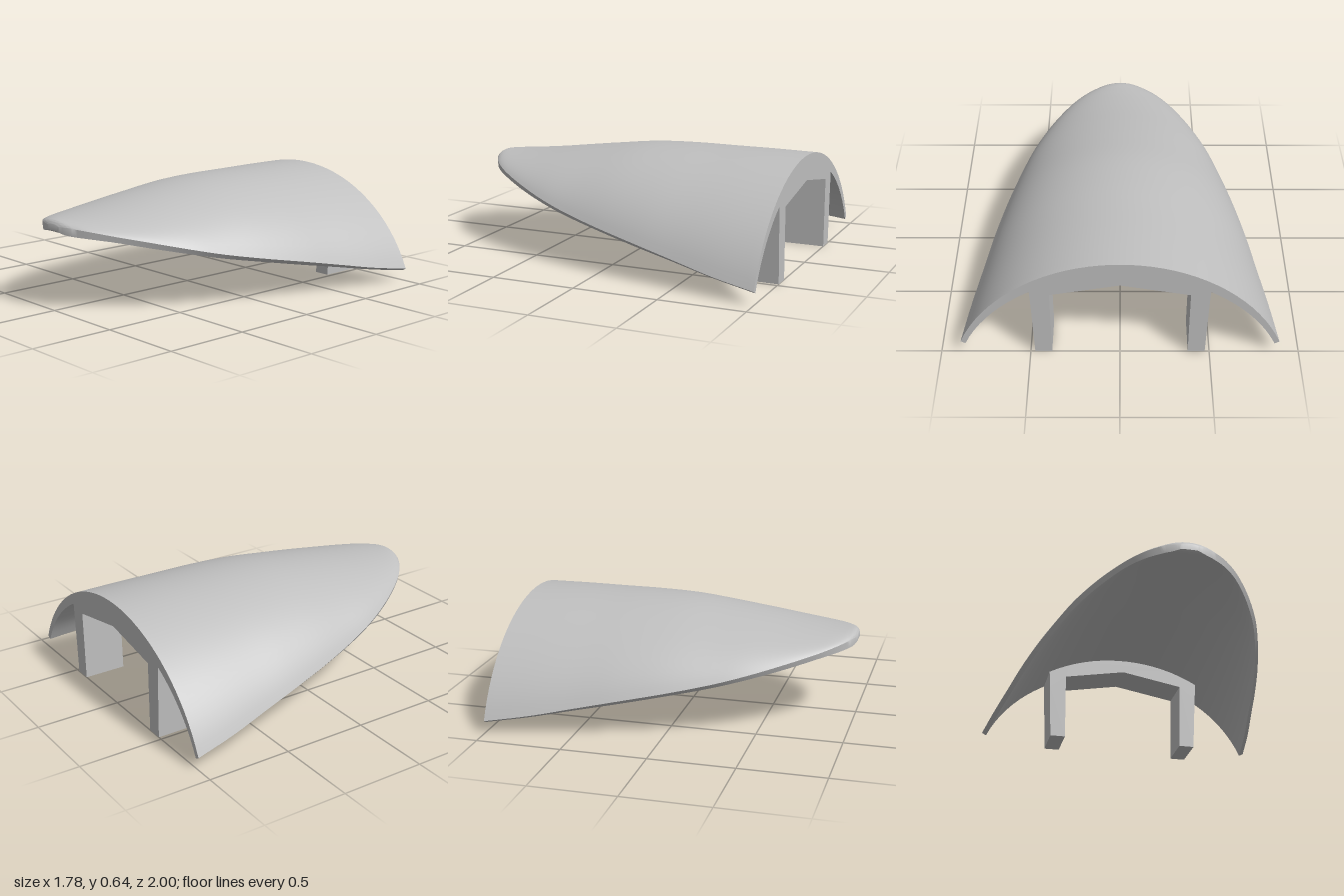
import * as THREE from 'three';
import { toCreasedNormals } from 'three/addons/utils/BufferGeometryUtils.js';

// Stations along the shell: z, half width, crown y, outer edge y, inner crown y, inner edge y
const STATIONS = [
  [-1.0, 0.89, 0.637, 0.075, 0.565, 0.06],
  [-0.75, 0.85, 0.64, 0.115, 0.57, 0.1],
  [-0.5, 0.8, 0.64, 0.165, 0.57, 0.147],
  [-0.25, 0.75, 0.64, 0.215, 0.57, 0.193],
  [0.0, 0.69, 0.63, 0.262, 0.56, 0.24],
  [0.25, 0.615, 0.6, 0.312, 0.53, 0.287],
  [0.45, 0.54, 0.573, 0.36, 0.503, 0.332],
  [0.64, 0.44, 0.547, 0.408, 0.478, 0.376],
  [0.8, 0.33, 0.53, 0.447, 0.46, 0.414],
  [0.9, 0.235, 0.523, 0.472, 0.451, 0.432],
  [0.96, 0.15, 0.52, 0.485, 0.449, 0.441],
  [0.985, 0.098, 0.514, 0.489, 0.452, 0.447],
  [1.0, 0.05, 0.497, 0.487, 0.462, 0.46],
];

// Lofts an arched outer skin and inner skin into one closed shell
function shellGeometry() {
  const n = 36, rows = 60, loop = 2 * n, bow = 1.2;
  const curve = (pick) => new THREE.CatmullRomCurve3(
    STATIONS.map((s) => new THREE.Vector3(...pick.map((i) => s[i]))), false, 'catmullrom', 0.5);
  const outside = curve([0, 1, 2]), inside = curve([3, 4, 5]);
  const pos = [], index = [];

  const arch = (t, w, crown, edge, z) => {
    const a = t * bow;
    pos.push(w * Math.sin(a) / Math.sin(bow),
      crown - (crown - edge) * (1 - Math.cos(a)) / (1 - Math.cos(bow)), z);
  };
  for (let r = 0; r <= rows; r++) {
    const o = outside.getPoint(r / rows), i = inside.getPoint(r / rows);
    for (let k = 0; k < n; k++) arch(-1 + 2 * k / (n - 1), o.y, o.z, i.x, o.x);
    for (let k = 0; k < n; k++) arch(1 - 2 * k / (n - 1), o.y * 0.97, i.y, i.z, o.x);
  }
  // skins and rims
  for (let r = 0; r < rows; r++) {
    for (let k = 0; k < loop; k++) {
      const a = r * loop + k, b = r * loop + (k + 1) % loop;
      index.push(a, a + loop, b, a + loop, b + loop, b);
    }
  }
  // end faces
  const end = rows * loop;
  for (let k = 0; k < n - 1; k++) {
    const i0 = loop - 1 - k, i1 = i0 - 1;
    index.push(k, k + 1, i0, k + 1, i1, i0);
    index.push(end + k, end + i0, end + k + 1, end + k + 1, end + i0, end + i1);
  }
  const g = new THREE.BufferGeometry();
  g.setAttribute('position', new THREE.Float32BufferAttribute(pos, 3));
  g.setIndex(index);
  return toCreasedNormals(g, 0.7);
}

// Two legs joined by a bent rib that sits up inside the shell
function legFrameGeometry() {
  const half = [
    [0.385, 0.42], [0.38, 0], [0.475, 0], [0.488, 0.34],
    [0.495, 0.47], [0.36, 0.54], [0.18, 0.59],
  ];
  const mirrored = half.map(([x, y]) => [-x, y]).reverse();
  const outline = [[0, 0.49], ...half, [0, 0.605], ...mirrored];
  const shape = new THREE.Shape(outline.map(([x, y]) => new THREE.Vector2(x, y)));
  const g = new THREE.ExtrudeGeometry(shape, { depth: 0.25, bevelEnabled: false });
  g.translate(0, 0, -1);
  return g;
}

export function createModel() {
  const model = new THREE.Group();
  model.name = 'archedShellOnLegs';
  const grey = new THREE.MeshStandardMaterial({ color: 0xbfbfbf });
  grey.name = 'light grey';

  const shell = new THREE.Mesh(shellGeometry(), grey);
  shell.name = 'shell';
  const legs = new THREE.Mesh(legFrameGeometry(), grey);
  legs.name = 'rearLegsAndRib';
  model.add(shell, legs);
  return model;
}
